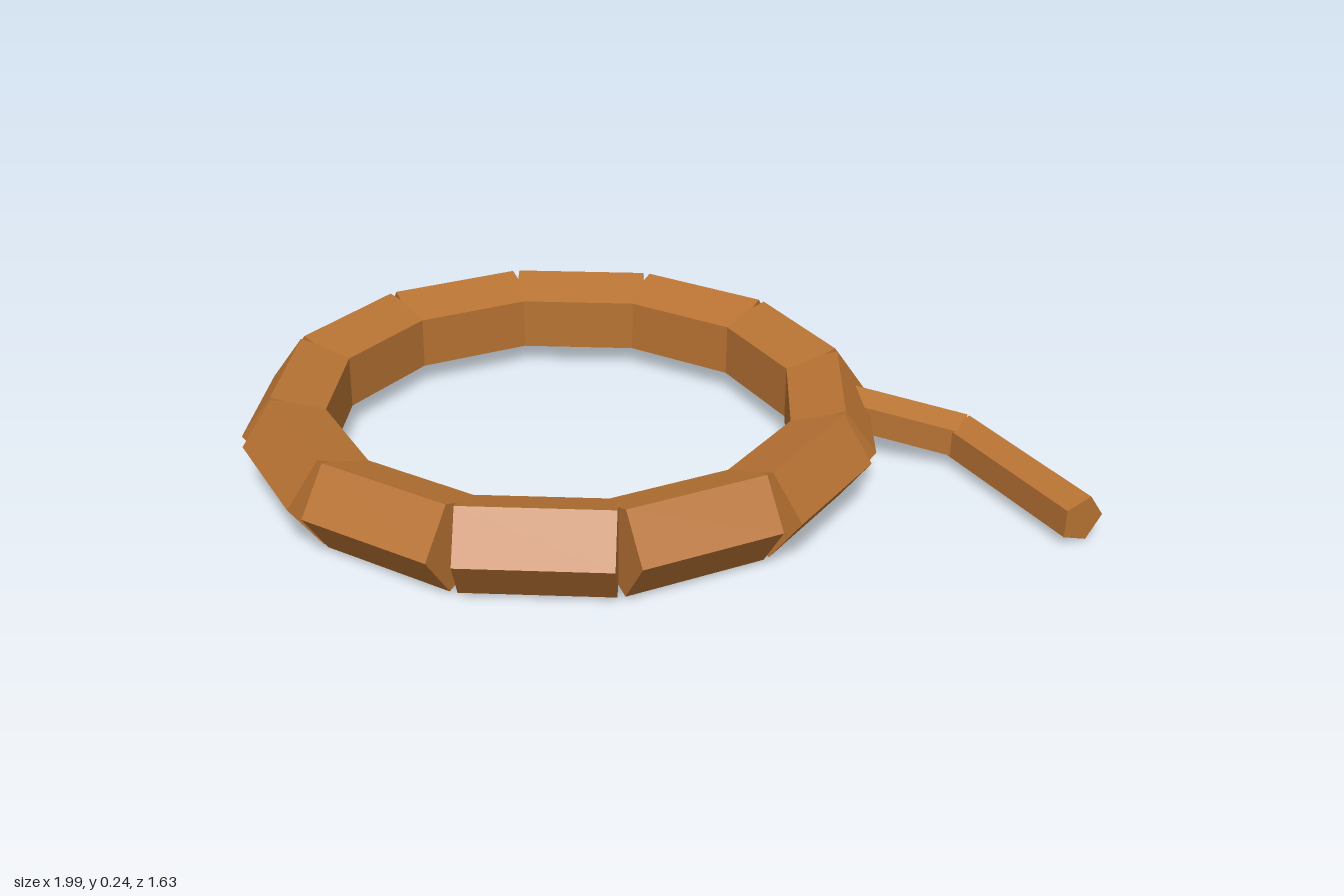
import * as THREE from 'three';

const UP = new THREE.Vector3(0, 1, 0);

export function createModel() {
  const model = new THREE.Group();
  const copper = new THREE.MeshStandardMaterial({ color: 0xb87333 });
  copper.name = 'copper';
  copper.flatShading = true;

  // Five-sided bar from a to b, with one long edge pointing sideways to `side`
  function bar(name, a, b, radius, side) {
    const axis = b.clone().sub(a);
    const length = axis.length();
    axis.normalize();
    const z = side.clone().addScaledVector(axis, -side.dot(axis)).normalize();
    const x = new THREE.Vector3().crossVectors(axis, z);
    // A cylinder's first long edge lies on its local +z
    const geometry = new THREE.CylinderGeometry(radius, radius, length, 5);
    geometry.applyMatrix4(new THREE.Matrix4().makeBasis(x, axis, z));
    const mesh = new THREE.Mesh(geometry, copper);
    mesh.name = name;
    mesh.position.copy(a).add(b).multiplyScalar(0.5);
    model.add(mesh);
  }

  // Ring of twelve straight bars, pointed edges outward
  const centre = new THREE.Vector3(-0.185, 0.123, 0);
  const ringPoint = (i) => {
    const t = (i * Math.PI) / 6;
    return new THREE.Vector3(Math.cos(t), 0, Math.sin(t)).multiplyScalar(0.7).add(centre);
  };
  for (let i = 0; i < 12; i++) {
    const a = ringPoint(i), b = ringPoint(i + 1);
    const outward = a.clone().add(b).multiplyScalar(0.5).sub(centre);
    bar('ringSegment' + (i + 1), a, b, 0.118, outward);
  }

  // Thin bent tail leaving the ring at the back
  const tail = [[0.21, 0.128, -0.545], [0.522, 0.066, -0.754], [0.979, 0.058, -0.632]]
    .map((p) => new THREE.Vector3(...p));
  for (let i = 0; i < 2; i++) {
    const along = tail[i + 1].clone().sub(tail[i]);
    const backward = new THREE.Vector3().crossVectors(UP, along).negate();
    if (backward.z > 0) backward.negate();
    bar(i ? 'tailEnd' : 'tailRoot', tail[i], tail[i + 1], 0.061, backward);
  }
  return model;
}
